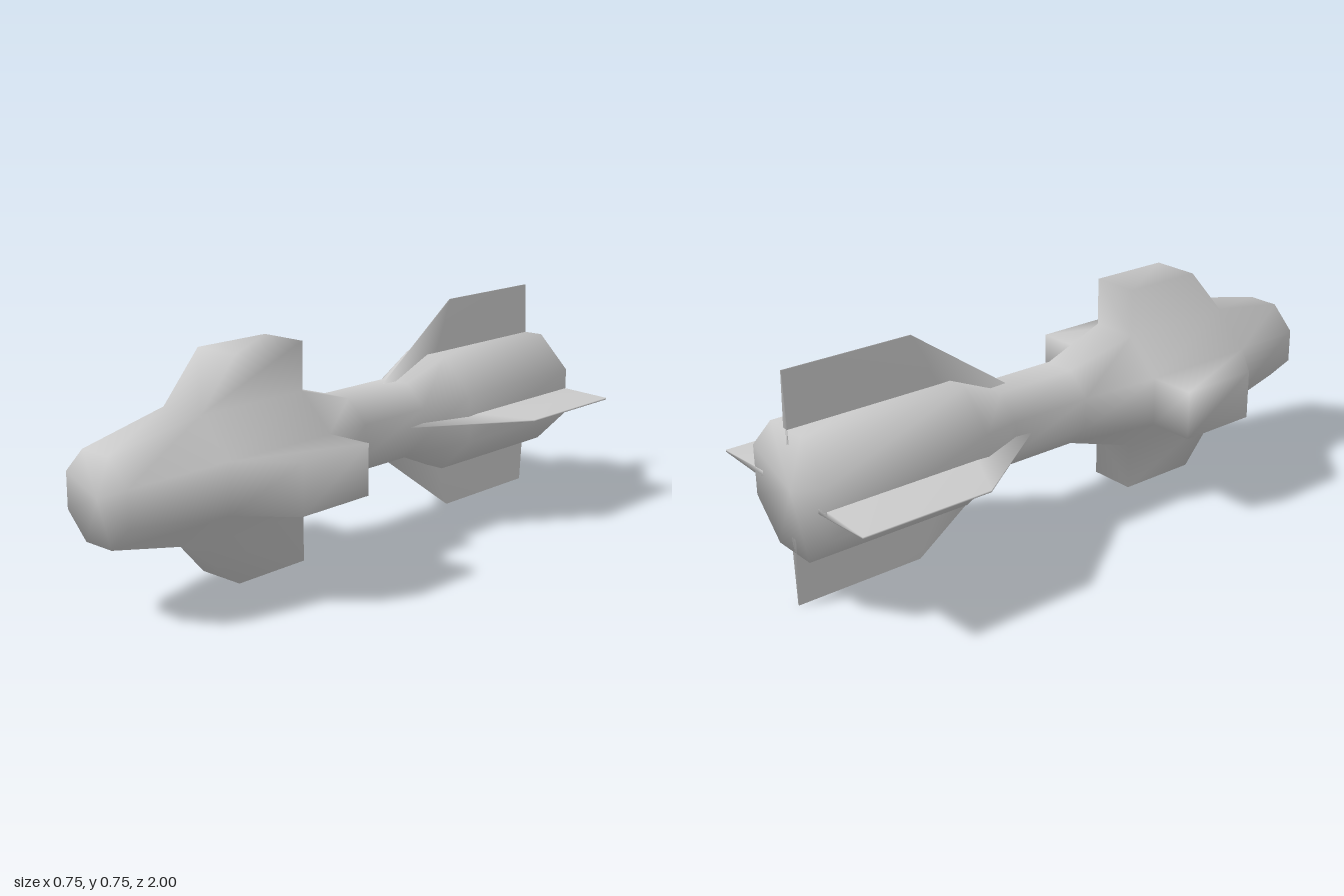
import * as THREE from 'three';

const CY = 0.373; // height of the long axis
const material = new THREE.MeshStandardMaterial({ color: 0xcccccc });

// Collects shared vertices and faces so the normals blend smoothly
function meshBuilder() {
  const pos = [], index = [];
  return {
    point: (x, y, z) => pos.push(x, y, z) / 3 - 1,
    tri: (a, b, c) => index.push(a, b, c),
    quad: (a, b, c, d) => index.push(a, b, c, a, c, d),
    mesh(name) {
      const g = new THREE.BufferGeometry();
      g.setAttribute('position', new THREE.Float32BufferAttribute(pos, 3));
      g.setIndex(index);
      g.computeVertexNormals();
      const m = new THREE.Mesh(g, material);
      m.name = name;
      return m;
    },
  };
}

// Eight-sided body with four stub wings growing out of its flat sides
function makeBody() {
  const b = meshBuilder();
  // [z, distance from axis to flat side]
  const stations = [[1, 0.137], [0.68, 0.197], [0.26, 0.197], [0.02, 0.128],
    [-0.27, 0.128], [-0.43, 0.197], [-1, 0.197]];
  const rings = stations.map(([z, apothem]) => {
    const r = apothem / Math.cos(Math.PI / 8);
    return Array.from({ length: 8 }, (_, j) => {
      const t = (j - 0.5) * Math.PI / 4;
      return b.point(r * Math.cos(t), r * Math.sin(t), z);
    });
  });

  const wing = { ring: 1, reach: 0.355, half: 0.0816, front: 0.54, back: 0.26 };
  for (let i = 0; i < rings.length - 1; i++) {
    for (let j = 0; j < 8; j++) {
      const k = (j + 1) % 8;
      const f0 = rings[i][j], f1 = rings[i][k], b0 = rings[i + 1][j], b1 = rings[i + 1][k];
      if (i !== wing.ring || j % 2) {
        b.quad(f0, b0, b1, f1);
        continue;
      }
      // Stub wing: sloped front, flat tip, upright back, two sides
      const t = j * Math.PI / 4, c = Math.cos(t), s = Math.sin(t);
      const corner = (side, z) => b.point(
        wing.reach * c - side * wing.half * s, wing.reach * s + side * wing.half * c, z);
      const tf0 = corner(-1, wing.front), tf1 = corner(1, wing.front);
      const tb0 = corner(-1, wing.back), tb1 = corner(1, wing.back);
      b.quad(tf0, tb0, tb1, tf1);
      b.quad(f0, tf0, tf1, f1);
      b.quad(tb0, b0, b1, tb1);
      b.quad(f0, b0, tb0, tf0);
      b.quad(f1, tf1, tb1, b1);
    }
  }

  // End caps
  const nose = b.point(0, 0, 1), tail = b.point(0, 0, -1);
  const last = rings[rings.length - 1];
  for (let j = 0; j < 8; j++) {
    const k = (j + 1) % 8;
    b.tri(nose, rings[0][j], rings[0][k]);
    b.tri(tail, last[k], last[j]);
  }
  return b.mesh('body');
}

// Thin tail fin pointing along +x, sharp at the leading edge and thin at the tip
function makeFin() {
  const b = meshBuilder();
  const root = 0.013, tip = 0.003, reach = 0.373;
  const lead = b.point(0.11, 0, -0.18);
  const [p, n] = [1, -1].map((s) => ({
    rootFront: b.point(0.15, s * root, -0.45),
    rootBack: b.point(0.15, s * root, -1),
    tipFront: b.point(reach, s * tip, -0.56),
    tipBack: b.point(reach, s * tip, -1),
  }));
  // Two broad faces
  b.tri(lead, p.tipFront, p.rootFront);
  b.quad(p.rootFront, p.tipFront, p.tipBack, p.rootBack);
  b.tri(lead, n.rootFront, n.tipFront);
  b.quad(n.rootFront, n.rootBack, n.tipBack, n.tipFront);
  // Leading edge, tip and trailing edge
  b.tri(lead, n.tipFront, p.tipFront);
  b.quad(p.tipFront, n.tipFront, n.tipBack, p.tipBack);
  b.quad(p.rootBack, p.tipBack, n.tipBack, n.rootBack);
  return b.mesh('tailFin');
}

export function createModel() {
  const model = new THREE.Group();
  model.name = 'finnedMissile';
  model.add(makeBody());

  // Four tail fins around the axis
  const fin = makeFin();
  for (let i = 0; i < 4; i++) {
    const copy = fin.clone();
    copy.rotation.z = i * Math.PI / 2;
    model.add(copy);
  }

  for (const part of model.children) part.position.y = CY;
  return model;
}
